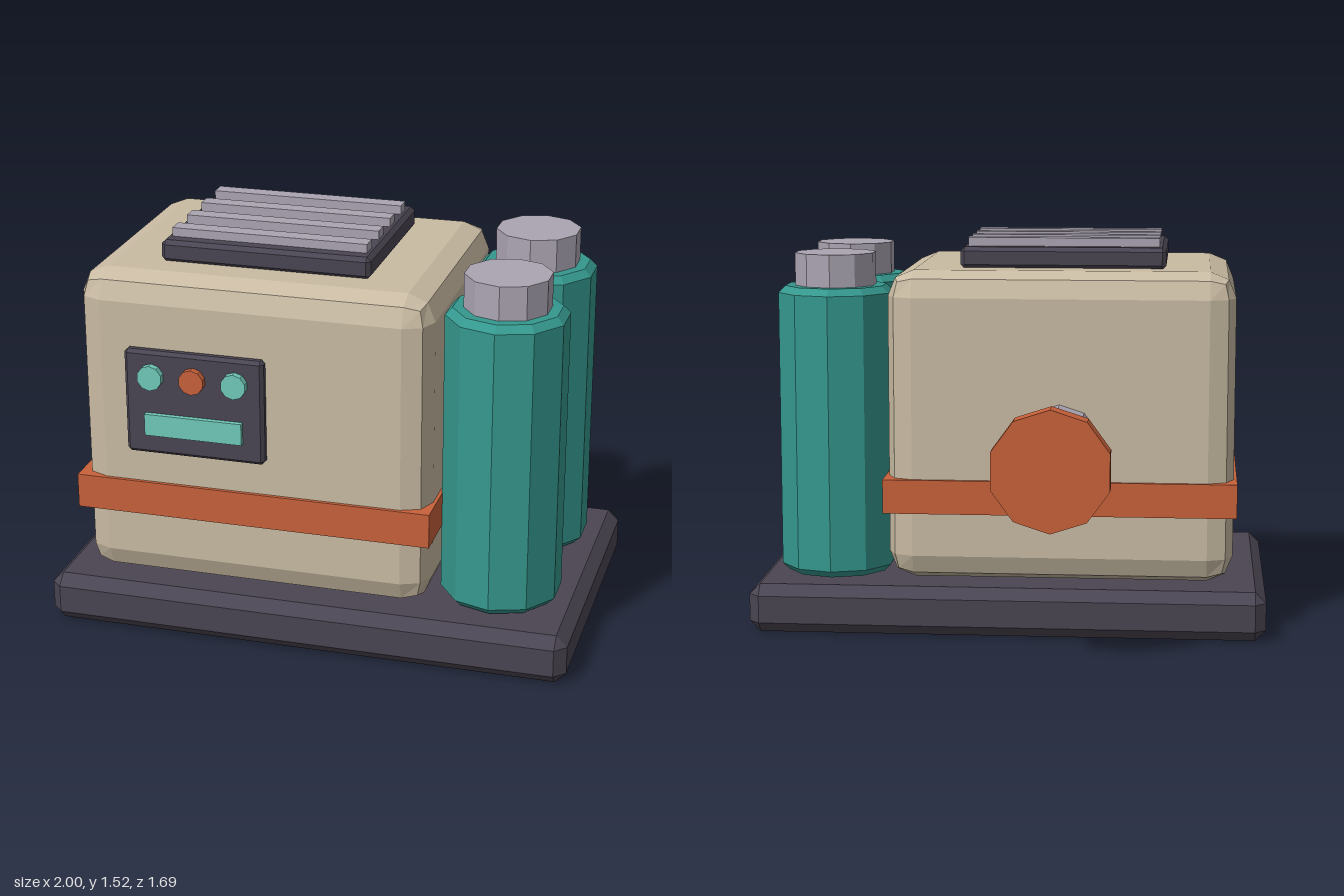
import * as THREE from 'three';
import { RoundedBoxGeometry } from 'three/addons/geometries/RoundedBoxGeometry.js';
import { ConvexGeometry } from 'three/addons/geometries/ConvexGeometry.js';

const paint = (name, color) => {
  const m = new THREE.MeshStandardMaterial({ color, flatShading: true });
  m.name = name;
  return m;
};

// Box with a single flat bevel on every edge
function chamferBox(w, h, d, c) {
  const pts = [];
  const [x, y, z] = [w / 2, h / 2, d / 2];
  for (const sx of [-1, 1]) for (const sy of [-1, 1]) for (const sz of [-1, 1]) {
    pts.push(
      new THREE.Vector3(sx * x, sy * (y - c), sz * (z - c)),
      new THREE.Vector3(sx * (x - c), sy * y, sz * (z - c)),
      new THREE.Vector3(sx * (x - c), sy * (y - c), sz * z));
  }
  return new ConvexGeometry(pts);
}

export function createModel() {
  const root = new THREE.Group();
  root.name = 'generator';

  const beige = paint('beige casing', 0xc9bba3);
  const dark = paint('dark metal', 0x4a4552);
  const orange = paint('orange trim', 0xc8613a);
  const teal = paint('teal tank', 0x35988e);
  const mint = paint('mint light', 0x70cab9);
  const grey = paint('grey metal', 0xaba5b2);

  const add = (name, geometry, material, x, y, z, parent = root) => {
    const mesh = new THREE.Mesh(geometry, material);
    mesh.name = name;
    mesh.position.set(x, y, z);
    parent.add(mesh);
    return mesh;
  };
  // Ten-sided cylinder lying along z
  const rod = (r, length) => new THREE.CylinderGeometry(r, r, length, 10).rotateX(Math.PI / 2);

  const cx = -0.203, cz = 0.244;

  // Base plate, casing and band
  add('base', chamferBox(2, 0.19, 1.2, 0.042), dark, 0, 0.095, cz);
  add('casing', new RoundedBoxGeometry(1.335, 1.2, 1.065, 1, 0.1), beige, cx, 0.804, cz);
  add('band', new THREE.BoxGeometry(1.36, 0.132, 1.093), orange, cx, 0.538, cz);

  // Roof vent with slats
  const vent = new THREE.Group();
  vent.name = 'vent';
  root.add(vent);
  add('ventPlate', chamferBox(0.797, 0.084, 0.667, 0.016), dark, cx, 1.442, cz, vent);
  for (let i = 0; i < 4; i++) {
    add('ventSlat', new THREE.BoxGeometry(0.744, 0.05, 0.064), grey, cx, 1.492, 0.003 + i * 0.161, vent);
  }

  // Control panel with three lights and a display bar
  const panel = new THREE.Group();
  panel.name = 'controlPanel';
  root.add(panel);
  add('panelPlate', chamferBox(0.532, 0.404, 0.045, 0.013), dark, -0.403, 0.937, 0.793, panel);
  [mint, orange, mint].forEach((m, i) =>
    add('panelLight', rod(0.048, 0.04), m, -0.563 + i * 0.16, 1.043, 0.822, panel));
  add('display', new THREE.BoxGeometry(0.372, 0.083, 0.035), mint, -0.403, 0.857, 0.818, panel);

  // Two ten-sided tanks with caps
  const tankProfile = [[0, 0], [0.2, 0], [0.227, 0.027], [0.227, 1.105], [0.2, 1.132], [0, 1.132]]
    .map(([r, y]) => new THREE.Vector2(r, y));
  for (const z of [0.514, -0.026]) {
    const tank = new THREE.Group();
    tank.name = 'tank';
    tank.position.set(0.691, 0.198, z);
    root.add(tank);
    add('tankBody', new THREE.LatheGeometry(tankProfile, 10), teal, 0, 0, 0, tank);
    add('tankCap', new THREE.CylinderGeometry(0.16, 0.16, 0.16, 10), grey, 0, 1.179, 0, tank);
  }

  // Rear exhaust pipe and flange
  add('pipe', rod(0.16, 0.56), grey, -0.204, 0.742, -0.49);
  add('pipeFlange', rod(0.226, 0.092), orange, -0.204, 0.742, -0.799);

  return root;
}
